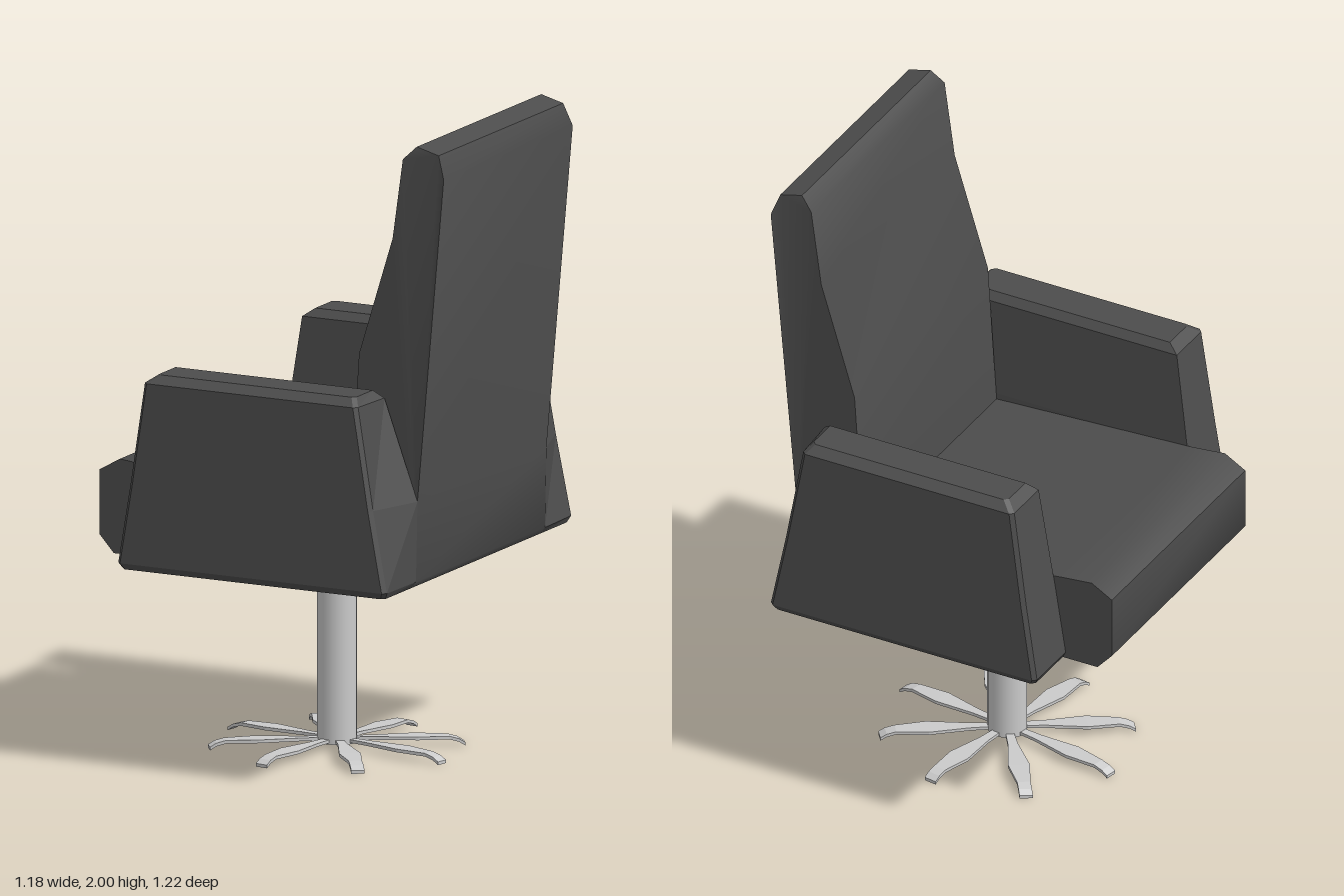
import * as THREE from 'three';
import { toCreasedNormals } from 'three/addons/utils/BufferGeometryUtils.js';

const leather = new THREE.MeshStandardMaterial({ color: 0x4d4d4d });
const panel = new THREE.MeshStandardMaterial({ color: 0x4d4d4d, flatShading: true });
const metal = new THREE.MeshStandardMaterial({ color: 0xcccccc });
const metalFlat = new THREE.MeshStandardMaterial({ color: 0xcccccc, flatShading: true });

function addMesh(parent, name, geometry, material) {
  const mesh = new THREE.Mesh(geometry, material);
  mesh.name = name;
  parent.add(mesh);
  return mesh;
}

// Closed solid skinned over a stack of equal-length loops
function loft(loops) {
  const pos = [];
  const tri = (...pts) => pts.forEach((p) => pos.push(...p));
  const n = loops[0].length;
  for (let i = 0; i < loops.length - 1; i++) {
    for (let k = 0; k < n; k++) {
      const j = (k + 1) % n;
      const a = loops[i][k], b = loops[i][j], c = loops[i + 1][j], d = loops[i + 1][k];
      tri(a, b, c);
      tri(a, c, d);
    }
  }
  const bottom = loops[0], top = loops[loops.length - 1];
  for (let k = 1; k < n - 1; k++) {
    tri(bottom[0], bottom[k + 1], bottom[k]);
    tri(top[0], top[k], top[k + 1]);
  }
  const g = new THREE.BufferGeometry();
  g.setAttribute('position', new THREE.Float32BufferAttribute(pos, 3));
  g.computeVertexNormals();
  return g;
}

// Seat and backrest: one side profile swept across the width
function seatGeometry() {
  const profile = [
    [-0.54, 0.63], [0.48, 0.63], [0.495, 0.65], [0.50, 0.9], [0.59, 1.91], [0.565, 1.98],
    [0.49, 2.0], [0.45, 1.96], [0.415, 1.71], [0.30, 1.34], [0.27, 0.88],
    [-0.39, 0.912], [-0.52, 0.925], [-0.59, 0.885], [-0.59, 0.685],
  ];
  const shape = new THREE.Shape(profile.map(([x, y]) => new THREE.Vector2(x, y)));
  const g = new THREE.ExtrudeGeometry(shape, { depth: 0.84, bevelEnabled: false });
  g.translate(0, 0, -0.42);
  // Draw the top edge in slightly
  const p = g.attributes.position;
  for (let i = 0; i < p.count; i++) {
    if (p.getY(i) > 1.97) p.setZ(i, p.getZ(i) * 0.965);
  }
  return toCreasedNormals(g, 0.8);
}

// Armrest: tapering sections; the inner rear edge bows out to meet the back
function armGeometry(side) {
  const c = 0.012;
  // y, front x, outer rear x, inner rear x, inner z, outer z
  const sections = [
    [0.63, -0.42, 0.48, 0.48, 0.42, 0.60],
    [0.65, -0.43, 0.49, 0.495, 0.42, 0.612],
    [0.90, -0.39, 0.44, 0.50, 0.42, 0.607],
    [1.215, -0.345, 0.385, 0.395, 0.435, 0.60],
    [1.24, -0.31, 0.365, 0.365, 0.455, 0.57],
  ];
  return loft(sections.map(([y, xf, xo, xi, zi, zo]) => {
    const loop = [
      [xf, zi], [xf, zo - c], [xf + c, zo], [xo - c, zo], [xo, zo - c], [xi, zi],
    ].map(([x, z]) => [x, y, z * side]);
    return side > 0 ? loop : loop.reverse();
  }));
}

// Star foot: a thin blade, widest past the middle, with a turned-down tip
function footGeometry() {
  // distance from axis, half width, top height
  const stations = [
    [0.03, 0.012, 0.032], [0.12, 0.016, 0.032], [0.25, 0.034, 0.032],
    [0.35, 0.021, 0.030], [0.38, 0.021, 0.022], [0.40, 0.021, 0.010],
  ];
  return loft(stations.map(([r, w, y]) => [
    [r, y, -w], [r, y, w], [r, y - 0.010, w], [r, y - 0.010, -w],
  ]));
}

export function createModel() {
  const chair = new THREE.Group();
  chair.name = 'swivelArmchair';

  addMesh(chair, 'seatAndBackrest', seatGeometry(), leather);
  addMesh(chair, 'leftArmrest', armGeometry(1), panel);
  addMesh(chair, 'rightArmrest', armGeometry(-1), panel);

  // Pedestal, slightly narrower in z
  const pedestal = new THREE.Group();
  pedestal.name = 'pedestal';
  pedestal.scale.z = 0.91;
  pedestal.position.z = -0.005;
  chair.add(pedestal);

  const column = new THREE.CylinderGeometry(0.062, 0.062, 0.615, 24);
  column.translate(0, 0.0175 + 0.615 / 2, 0);
  addMesh(pedestal, 'column', column, metal);

  const foot = footGeometry();
  for (let i = 0; i < 8; i++) {
    const leg = addMesh(pedestal, 'foot' + (i + 1), foot, metalFlat);
    leg.rotation.y = -(Math.PI / 18 + (i * Math.PI) / 4);
  }
  return chair;
}
